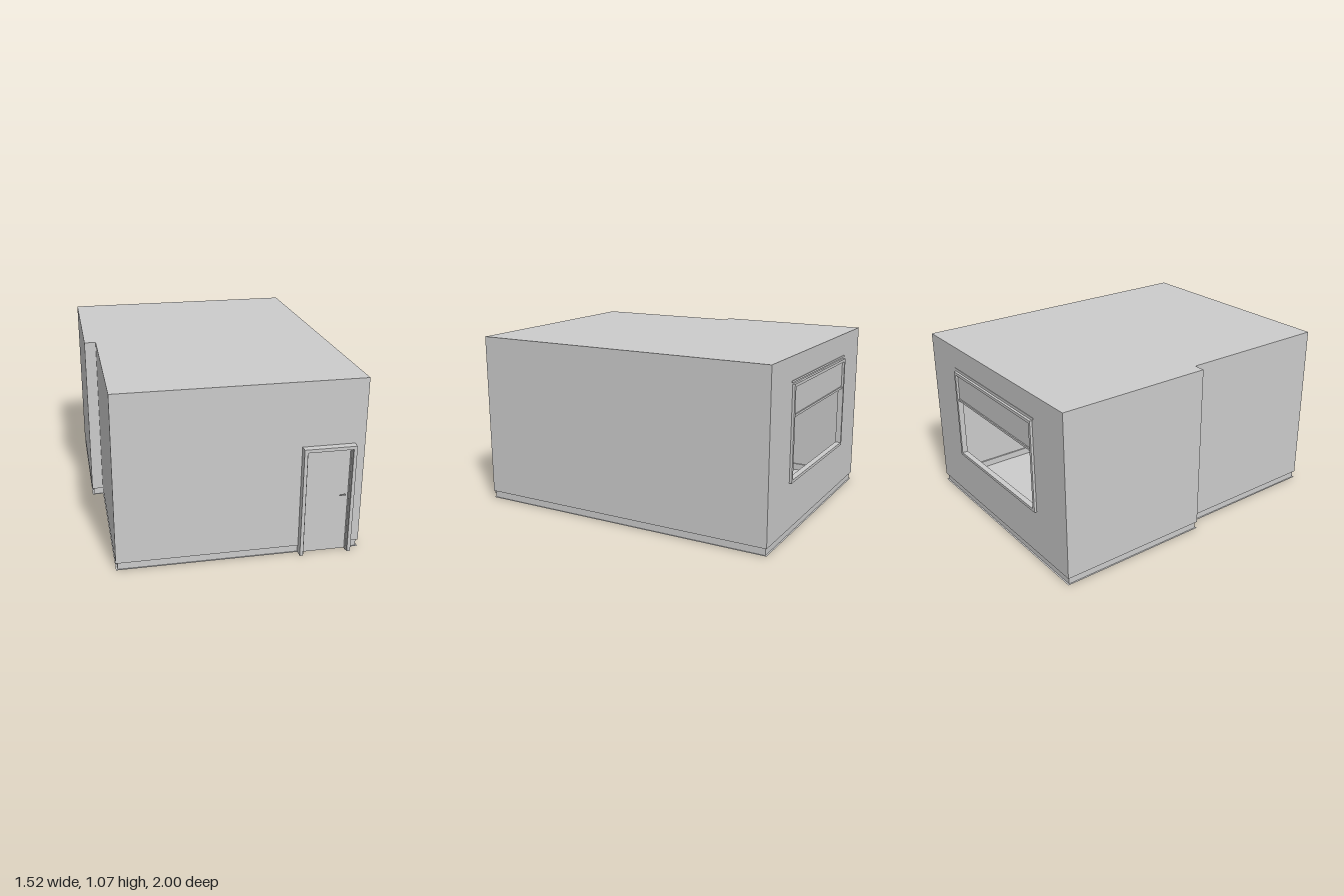
import * as THREE from 'three';

const material = new THREE.MeshStandardMaterial({ color: 0xcccccc, flatShading: true, side: THREE.DoubleSide });

// Footprint of the room as [x, z], with a step in the -x side
const outline = [[-0.69, 0.955], [0.76, 0.955], [0.76, -0.985], [-0.76, -0.985], [-0.76, -0.02], [-0.69, -0.02]];
const inset = [[-0.68, 0.945], [0.75, 0.945], [0.75, -0.975], [-0.75, -0.975], [-0.75, -0.03], [-0.68, -0.03]];

const toShape = (points) => new THREE.Shape(points.map(([x, y]) => new THREE.Vector2(x, y)));
const rect = (x0, y0, x1, y1) => [[x0, y0], [x1, y0], [x1, y1], [x0, y1]];

function add(parent, name, geometry) {
  const mesh = new THREE.Mesh(geometry, material);
  mesh.name = name;
  parent.add(mesh);
  return mesh;
}

// Box given by its limits on each axis
function block(parent, name, x0, x1, y0, y1, z0, z1) {
  const mesh = add(parent, name, new THREE.BoxGeometry(x1 - x0, y1 - y0, z1 - z0));
  mesh.position.set((x0 + x1) / 2, (y0 + y1) / 2, (z0 + z1) / 2);
}

// Thin horizontal sheet
function sheet(parent, name, points, y, hole) {
  const shape = toShape(points);
  if (hole) shape.holes.push(toShape(hole));
  const mesh = add(parent, name, new THREE.ShapeGeometry(shape).rotateX(Math.PI / 2));
  mesh.position.y = y;
}

// Thin upright sheet standing on the line from a to b; points are [distance, height]
function upright(parent, name, a, b, points, hole) {
  const shape = toShape(points);
  if (hole) shape.holes.push(toShape(hole));
  const mesh = add(parent, name, new THREE.ShapeGeometry(shape));
  mesh.position.set(a[0], 0, a[1]);
  mesh.rotation.y = Math.atan2(a[1] - b[1], b[0] - a[0]);
}

export function createModel() {
  const model = new THREE.Group();
  model.name = 'room';
  const base = 0.045, top = 1.07;

  // Floor, roof and the narrow ledge above the recessed skirting
  sheet(model, 'floor', outline, 0.001);
  sheet(model, 'ceiling', outline, top);
  sheet(model, 'skirtingLedge', outline, base, inset);

  // Walls and skirting, side by side round the footprint
  outline.forEach((a, i) => {
    const j = (i + 1) % outline.length, b = outline[j];
    const length = Math.hypot(b[0] - a[0], b[1] - a[1]);
    let wall = rect(0, base, length, top), hole = null;
    if (i === 0) {
      wall = [[0, base], [1.1, base], [1.1, 0.66], [1.365, 0.66], [1.365, base], [length, base], [length, top], [0, top]];
    }
    if (i === 2) hole = rect(0.325, 0.345, 1.195, 0.895);
    upright(model, 'wall', a, b, wall, hole);

    const c = inset[i], d = inset[j];
    const run = Math.hypot(d[0] - c[0], d[1] - c[1]);
    const spans = i === 0 ? [[0, 1.075], [1.37, run]] : [[0, run]];
    for (const [s, e] of spans) upright(model, 'skirting', c, d, rect(s, 0, e, base));
  });

  // Door: outer casing, stepped inner stop, leaf and lever handle
  const door = new THREE.Group();
  door.name = 'door';
  model.add(door);
  block(door, 'doorJamb', 0.387, 0.407, 0, 0.68, 0.945, 1);
  block(door, 'doorJamb', 0.678, 0.698, 0, 0.68, 0.945, 1);
  block(door, 'doorHead', 0.407, 0.678, 0.66, 0.68, 0.945, 1);
  block(door, 'doorStop', 0.407, 0.413, 0, 0.66, 0.945, 0.985);
  block(door, 'doorStop', 0.672, 0.678, 0, 0.66, 0.945, 0.985);
  block(door, 'doorStop', 0.413, 0.672, 0.653, 0.66, 0.945, 0.985);
  block(door, 'doorLeaf', 0.413, 0.672, 0.004, 0.653, 0.945, 0.963);
  block(door, 'doorHandleStem', 0.649, 0.655, 0.361, 0.367, 0.963, 0.978);
  block(door, 'doorHandleLever', 0.618, 0.655, 0.362, 0.367, 0.974, 0.979);

  // Window: frame, transom, closed upper panel and open lower light
  const window = new THREE.Group();
  window.name = 'window';
  model.add(window);
  for (const s of [-1, 1]) {
    block(window, 'windowStile', s * 0.441 - 0.009, s * 0.441 + 0.009, 0.33, 0.91, -1, -0.965);
  }
  block(window, 'windowSill', -0.432, 0.432, 0.33, 0.348, -1, -0.965);
  block(window, 'windowHead', -0.432, 0.432, 0.892, 0.91, -1, -0.965);
  block(window, 'windowTransom', -0.432, 0.432, 0.715, 0.729, -0.993, -0.97);
  block(window, 'windowUpperPanel', -0.432, 0.432, 0.729, 0.892, -0.986, -0.976);
  block(window, 'windowTrim', -0.465, 0.465, 0.918, 0.93, -0.988, -0.975);

  return model;
}
